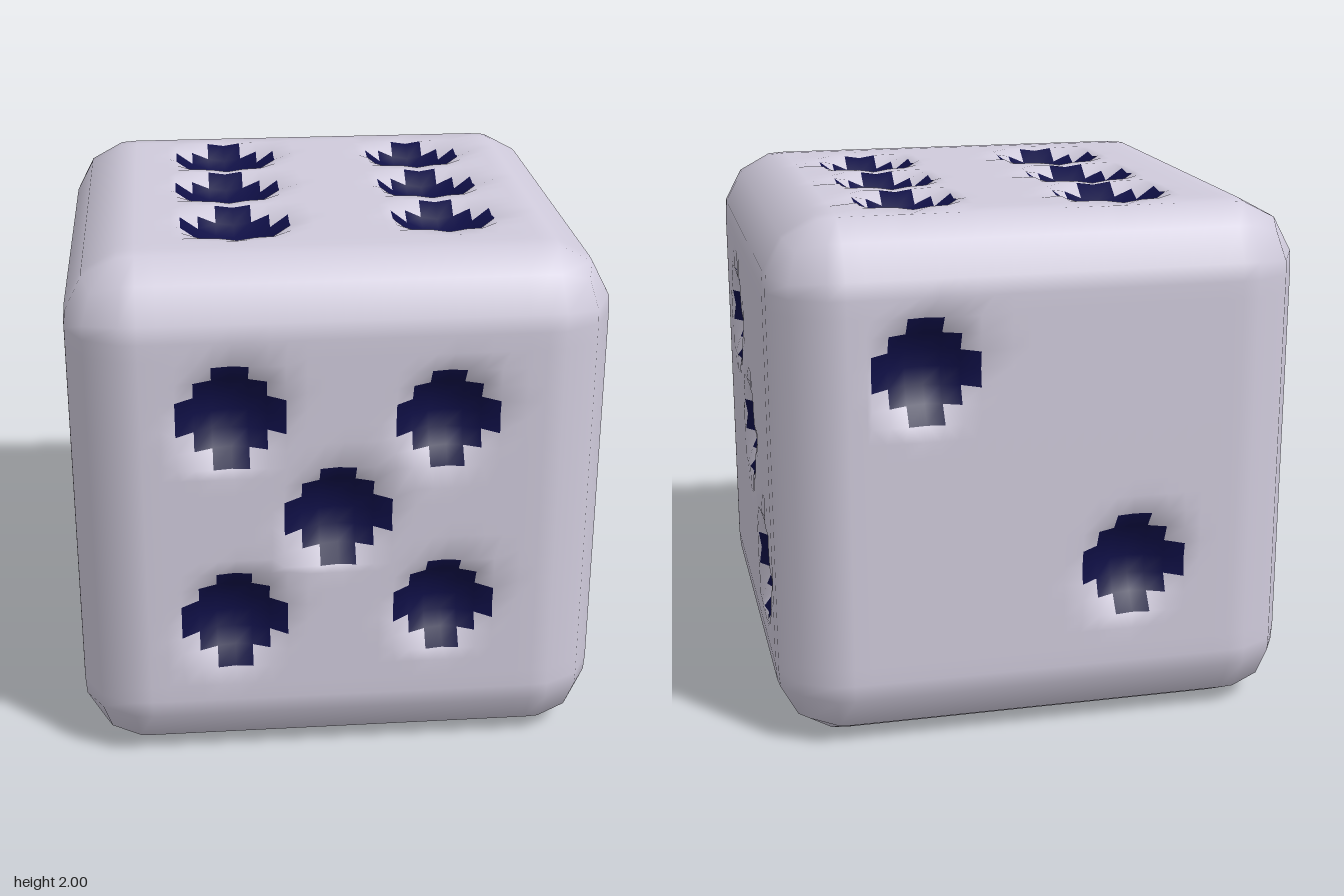
import * as THREE from 'three';
import { mergeVertices } from 'three/addons/utils/BufferGeometryUtils.js';

const CELL = 0.8 / 12;   // grid step on the flat part of each face
const R = 0.25;          // edge rounding
const DEPTH = 0.1;       // depth of the pip hollows

// Grid lines over one face: fine on the flat, one wide strip at each edge
const LINES = [-1];
for (let i = -12; i <= 12; i++) LINES.push(i * CELL);
LINES.push(1);

// Each face: axes u, v (u x v points outward) and its pips as [u, v, radius]
const FACES = [
  { name: 'front', u: [1, 0, 0], v: [0, 1, 0],
    pips: [[-0.41, 0.44, 0.2], [0.38, 0.41, 0.19], [-0.02, 0.03, 0.2], [-0.41, -0.39, 0.2], [0.38, -0.36, 0.19]] },
  { name: 'back', u: [-1, 0, 0], v: [0, 1, 0],
    pips: [[-0.45, 0.46, 0.2], [0.34, -0.34, 0.2]] },
  { name: 'right', u: [0, 0, -1], v: [0, 1, 0],
    pips: [[-0.36, 0.38, 0.19], [0.02, 0, 0.19], [0.42, -0.45, 0.2]] },
  { name: 'left', u: [0, 0, 1], v: [0, 1, 0],
    pips: [[-0.43, 0.4, 0.2], [0.4, 0.42, 0.2], [-0.43, -0.39, 0.2], [0.35, -0.37, 0.2]] },
  { name: 'top', u: [1, 0, 0], v: [0, 0, -1],
    pips: [[-0.36, 0.5, 0.205], [-0.37, 0.05, 0.205], [-0.36, -0.42, 0.205],
      [0.43, 0.48, 0.19], [0.43, 0.04, 0.19], [0.43, -0.4, 0.19]] },
  { name: 'bottom', u: [1, 0, 0], v: [0, 0, 1], pips: [[0, 0, 0.2]] },
];

// Nearest grid crossing to a pip centre
const snap = (a) => Math.round(a / CELL + 0.3) * CELL;

// Point on the rounded cube, slid and hollowed where a pip sits
function facePoint(face, n, a, b) {
  let dent = 0;
  for (const [pu, pv, r] of face.pips) {
    const du = a - snap(pu), dv = b - snap(pv);
    if (Math.max(Math.abs(du), Math.abs(dv)) > 3.01 * CELL) continue;
    const d = Math.hypot(du, dv) / (3.2 * CELL);
    dent = DEPTH * Math.max(0, 1 - d * d);
    const s = r / (3 * CELL);
    a = pu + du * s;
    b = pv + dv * s;
    break;
  }
  const p = new THREE.Vector3()
    .addScaledVector(face.uAxis, a).addScaledVector(face.vAxis, b).add(n);
  const core = p.clone().clampScalar(R - 1, 1 - R);
  p.sub(core).setLength(R).add(core);
  return p.addScaledVector(n, -dent);
}

// A cell is painted when it falls inside a pip's stepped disc
function isPip(face, a, b) {
  return face.pips.some(([pu, pv]) => Math.hypot(a - snap(pu), b - snap(pv)) < 2.7 * CELL);
}

export function createModel() {
  const positions = [], bodyIndex = [], pipIndex = [];
  const count = LINES.length;

  for (const def of FACES) {
    const face = { ...def, uAxis: new THREE.Vector3(...def.u), vAxis: new THREE.Vector3(...def.v) };
    const n = face.uAxis.clone().cross(face.vAxis);
    const start = positions.length / 3;
    for (const b of LINES) {
      for (const a of LINES) positions.push(...facePoint(face, n, a, b).toArray());
    }
    for (let j = 0; j < count - 1; j++) {
      for (let i = 0; i < count - 1; i++) {
        const k = start + j * count + i;
        const mid = [(LINES[i] + LINES[i + 1]) / 2, (LINES[j] + LINES[j + 1]) / 2];
        const target = isPip(face, ...mid) ? pipIndex : bodyIndex;
        target.push(k, k + 1, k + count + 1, k, k + count + 1, k + count);
      }
    }
  }

  // Weld the six faces so the normals run smoothly over the edges
  let skin = new THREE.BufferGeometry();
  skin.setAttribute('position', new THREE.Float32BufferAttribute(positions, 3));
  skin.setIndex([...bodyIndex, ...pipIndex]);
  skin = mergeVertices(skin, 1e-4);
  skin.computeVertexNormals();
  skin.translate(0, 1, 0);

  const ivory = new THREE.MeshStandardMaterial({ color: 0xd0cbdc });
  ivory.name = 'pale lavender';
  const navy = new THREE.MeshStandardMaterial({ color: 0x0f0f46 });
  navy.name = 'dark navy';

  const all = Array.from(skin.index.array);
  const part = (name, index, material) => {
    const geometry = skin.clone();
    geometry.setIndex(index);
    const mesh = new THREE.Mesh(geometry, material);
    mesh.name = name;
    return mesh;
  };

  const die = new THREE.Group();
  die.name = 'die';
  die.add(
    part('body', all.slice(0, bodyIndex.length), ivory),
    part('pips', all.slice(bodyIndex.length), navy),
  );
  return die;
}
